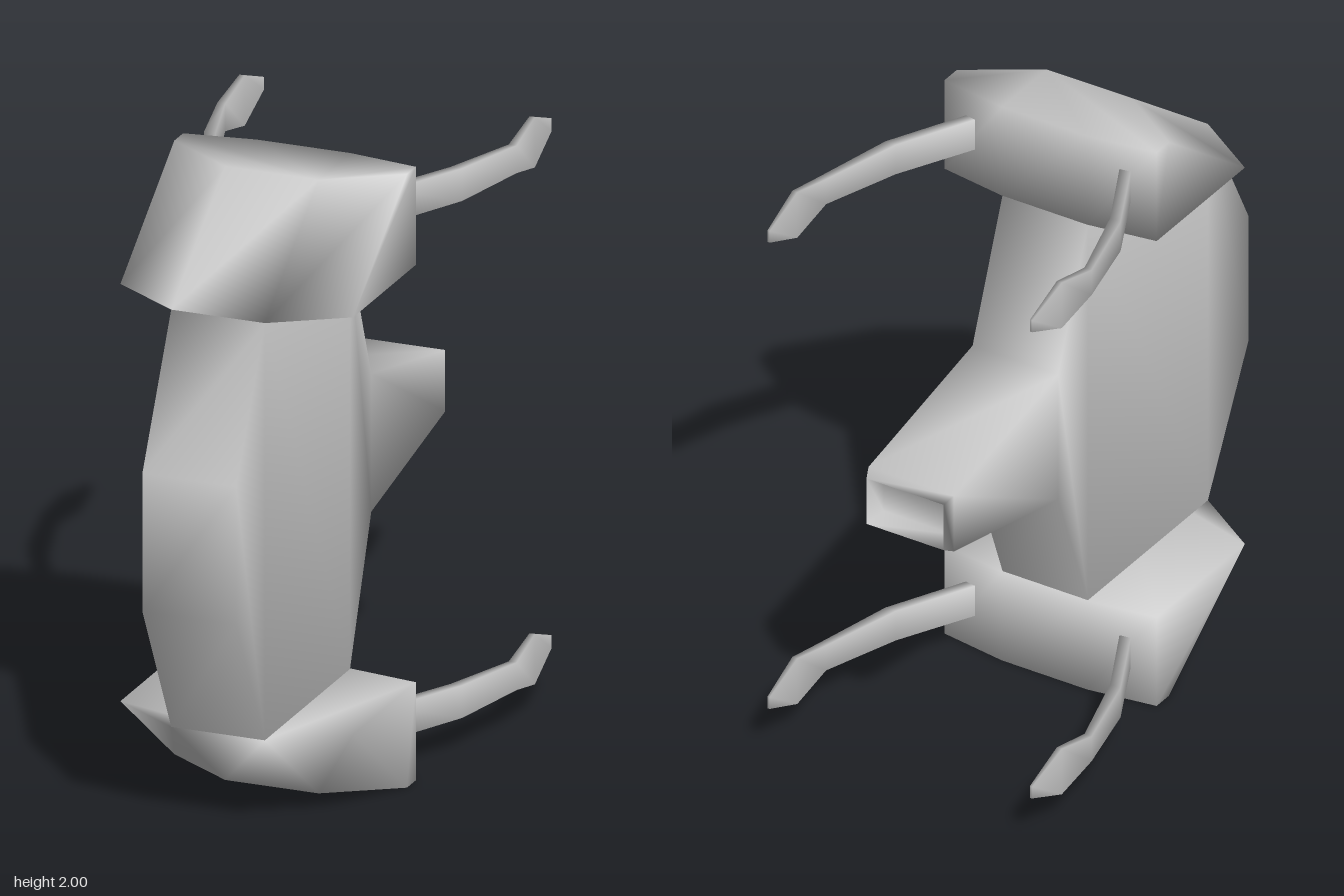
import * as THREE from 'three';

const material = new THREE.MeshStandardMaterial({ color: 0xcccccc });

// Skin a closed, smooth-shaded solid over rings of [x, y, z] points
function loft(name, rings) {
  const n = rings[0].length, last = (rings.length - 1) * n, index = [];
  for (let i = 0; i < rings.length - 1; i++) {
    for (let j = 0; j < n; j++) {
      const a = i * n + j, b = i * n + (j + 1) % n;
      index.push(a, b, b + n, a, b + n, a + n);
    }
  }
  for (let j = 1; j < n - 1; j++) {
    index.push(0, j + 1, j, last, last + j, last + j + 1);
  }
  const geometry = new THREE.BufferGeometry();
  geometry.setAttribute('position', new THREE.Float32BufferAttribute(rings.flat(2), 3));
  geometry.setIndex(index);
  geometry.computeVertexNormals();
  const mesh = new THREE.Mesh(geometry, material);
  mesh.name = name;
  return mesh;
}

// Rectangular section facing -z
const rect = (cx, cy, z, hx, hy) =>
  [[-1, -1], [-1, 1], [1, 1], [1, -1]].map(([u, v]) => [cx + u * hx, cy + v * hy, z]);

// Eight-sided plan of an end block; setback moves its front edge rearwards
function blockPlan(y, setback) {
  const half = [[0.155, 0.64 - setback], [0.385, 0.49 - setback], [0.385, -0.01], [0.155, -0.045]];
  const mirrored = half.map(([x, z]) => [-x, z]).reverse();
  return [...half, ...mirrored].map(([x, z]) => [x, y, z]);
}

export function createModel() {
  const model = new THREE.Group();
  model.name = 'model';

  // Flat central body running back into a tapered nozzle with a recessed mouth
  const sections = [
    [0.87, 0.155, 0.225], [0.64, 0.155, 0.68], [-0.04, 0.155, 0.68], [-0.21, 0.155, 0.225],
    [-0.8, 0.155, 0.1], [-0.835, 0.14, 0.082], [-0.76, 0.125, 0.07],
  ];
  model.add(loft('body', sections.map(([z, hx, hy]) => rect(0, 1, z, hx, hy))));

  // Wide end blocks with sloping fronts
  model.add(loft('topBlock', [blockPlan(1.68, 0), blockPlan(2, 0.43)]));
  model.add(loft('bottomBlock', [blockPlan(0, 0.43), blockPlan(0.32, 0)]));

  // Four bowed prongs with spear-shaped tips: x, y offset, z, half width, half height
  const prong = [
    [0.275, 0, -0.015, 0.02, 0.054], [0.408, 0, -0.28, 0.019, 0.053],
    [0.482, 0, -0.55, 0.013, 0.045], [0.48, 0, -0.71, 0.009, 0.082],
    [0.476, 0.003, -0.865, 0.004, 0.021],
  ];
  for (const [level, y] of [['upper', 1.855], ['lower', 0.17]]) {
    for (const [side, s] of [['Left', 1], ['Right', -1]]) {
      model.add(loft(`${level}${side}Prong`,
        prong.map(([x, dy, z, hx, hy]) => rect(s * x, y + dy, z, hx, hy))));
    }
  }
  return model;
}
